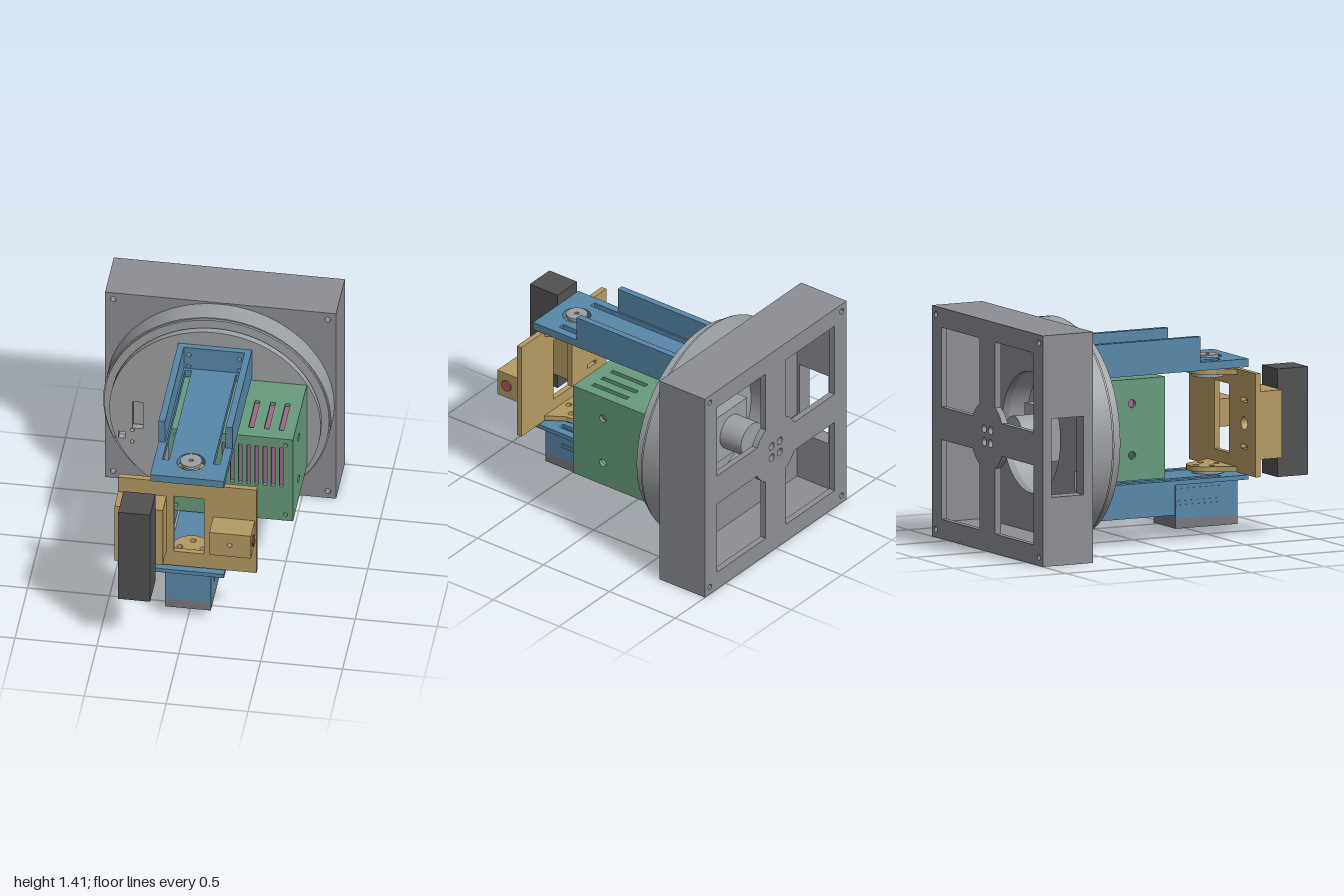
import * as THREE from 'three';
import { toCreasedNormals } from 'three/addons/utils/BufferGeometryUtils.js';

const mat = (color) => new THREE.MeshStandardMaterial({ color });
const M = {
  base: mat(0x8c8e93), grey: mat(0x9da0a3), blue: mat(0x5688a8), gold: mat(0xb39a62),
  green: mat(0x669b7d), dark: mat(0x515151), purple: mat(0xa8628a), red: mat(0xb05a5a), cap: mat(0x77787e),
};
const CY = 0.705; // height of the turntable axis

// 2D helpers
function poly(points) {
  return new THREE.Shape(points.map(([x, y]) => new THREE.Vector2(x, y)));
}
const rect = (x0, y0, x1, y1) => poly([[x0, y0], [x1, y0], [x1, y1], [x0, y1]]);
const disc = (x, y, r) => new THREE.Shape().absarc(x, y, r, 0, Math.PI * 2, false);

// Panel cut from a shape. Axis z: shape is (x, y); axis y: (x, -z); axis x: (-z, y).
function panel(parent, name, material, shape, holes, axis, from, to) {
  shape.holes.push(...holes);
  let geo = new THREE.ExtrudeGeometry(shape, { depth: to - from, bevelEnabled: false, curveSegments: 40 });
  geo.translate(0, 0, from);
  if (axis === 'y') geo.rotateX(-Math.PI / 2);
  if (axis === 'x') geo.rotateY(Math.PI / 2);
  geo = toCreasedNormals(geo, 0.5);
  const mesh = new THREE.Mesh(geo, material);
  mesh.name = name;
  parent.add(mesh);
  return mesh;
}

function box(parent, name, material, x0, x1, y0, y1, z0, z1) {
  const mesh = new THREE.Mesh(new THREE.BoxGeometry(x1 - x0, y1 - y0, z1 - z0), material);
  mesh.position.set((x0 + x1) / 2, (y0 + y1) / 2, (z0 + z1) / 2);
  mesh.name = name;
  parent.add(mesh);
}

function section(root, name) {
  const g = new THREE.Group();
  g.name = name;
  root.add(g);
  return g;
}

// Square hollow housing with a cross-shaped back
function buildHousing(root) {
  const g = section(root, 'housing');
  const corners = () => [-1, 1].flatMap((i) => [-1, 1].map((j) => disc(i * 0.655, CY + j * 0.655, 0.018)));
  const port = () => rect(-0.62, 0.43, -0.55, 0.54);
  const windows = [-1, 1].flatMap((i) => [-1, 1].map((j) => {
    const pts = [[0.585, 0.1], [0.585, 0.585], [0.1, 0.585]];
    for (let k = 0; k <= 6; k++) {
      const a = 1.075 - k * (0.58 / 6);
      pts.push([0.21 * Math.cos(a), 0.21 * Math.sin(a)]);
    }
    return poly(pts.map(([x, y]) => [i * x, CY + j * y]));
  }));
  const hubHoles = [-1, 1].flatMap((i) => [-1, 1].map((j) => disc(i * 0.04, CY + j * 0.04, 0.025)));
  const square = () => rect(-0.705, 0, 0.705, 1.41);
  panel(g, 'backCross', M.base, square(), [...windows, ...hubHoles, ...corners()], 'z', -1, -0.96);
  panel(g, 'frontPlate', M.base, square(), [disc(0, CY, 0.37), port(), ...corners()], 'z', -0.7, -0.655);
  // Walls, with a cable window on the right-hand one
  panel(g, 'floorAndRoof', M.base, rect(-0.705, 0, 0.705, 0.1), corners().filter((_, k) => k % 2 === 0), 'z', -0.96, -0.7);
  panel(g, 'floorAndRoof', M.base, rect(-0.705, 1.31, 0.705, 1.41), corners().filter((_, k) => k % 2 === 1), 'z', -0.96, -0.7);
  box(g, 'leftWall', M.base, 0.605, 0.705, 0.1, 1.31, -0.96, -0.7);
  panel(g, 'rightWall', M.base, rect(0.7, 0.1, 0.96, 1.31), [rect(0.72, 0.42, 0.94, 0.9)], 'x', -0.705, -0.605);

  // Round bearing collar with a closed front
  panel(g, 'collar', M.grey, disc(0, CY, 0.695), [disc(0, CY, 0.37), port()], 'z', -0.655, -0.515);
  panel(g, 'collarFront', M.grey, disc(0, CY, 0.687), [port()], 'z', -0.53, -0.5);
  box(g, 'motorBody', M.grey, -0.16, 0.16, CY - 0.16, CY + 0.16, -0.66, -0.53);
  panel(g, 'motorShaft', M.grey, disc(0, CY, 0.11), [], 'z', -0.82, -0.66);
}

function buildTurntable(root) {
  const g = section(root, 'turntable');
  const holes = [rect(-0.505, 0.565, -0.44, 0.765), rect(-0.59, 0.48, -0.55, 0.53),
    disc(-0.505, 0.46, 0.012), disc(-0.505, 0.55, 0.012)];
  panel(g, 'turntableDisc', M.grey, disc(0, CY, 0.645), holes, 'z', -0.478, -0.436);
  panel(g, 'turntableHub', M.grey, disc(0, CY, 0.14), [], 'z', -0.5, -0.478);
  // Three supporting rollers
  for (const deg of [30, 150, 270]) {
    const a = deg * Math.PI / 180;
    panel(g, 'roller', M.gold, disc(0.5 * Math.cos(a), CY + 0.5 * Math.sin(a), 0.035), [], 'z', -0.5, -0.478);
  }
}

// Channel arm: slotted plate, two side walls, screwed flange
function buildArm(root, name, plate, wall, wallEnd, screwRows, pivotRadius) {
  const g = section(root, name);
  const slots = [-1, 1].map((s) => rect(s * 0.155 - 0.02, -0.51, s * 0.155 + 0.02, 0.38));
  panel(g, 'armPlate', M.blue, rect(-0.225, -0.67, 0.225, 0.436), [...slots, disc(0, -0.51, pivotRadius)], 'y', ...plate);
  for (const s of [-1, 1]) {
    const x = s * 0.205;
    box(g, 'armWall', M.blue, x - 0.02, x + 0.02, ...wall, -0.436, wallEnd);
  }
  const screws = screwRows.flatMap((y) => [-0.155, 0.155].map((x) => disc(x, y, 0.014)));
  panel(g, 'armFlange', M.blue, rect(-0.185, wall[0], 0.185, wall[1]), screws, 'z', -0.436, -0.4);
}

function buildServo(root) {
  const g = section(root, 'servo');
  box(g, 'servoBody', M.blue, -0.14, 0.14, 0.13, 0.355, 0.215, 0.64);
  const pocket = rect(-0.05, -0.46, 0.05, -0.36);
  const screws = [-0.115, 0.115].flatMap((x) => [-0.61, -0.245].map((y) => disc(x, y, 0.012)));
  panel(g, 'servoCap', M.cap, rect(-0.14, -0.64, 0.14, -0.215), [pocket, ...screws], 'y', 0.07, 0.13);
  // Raised ribs on both flanks
  for (const s of [-1, 1]) for (const y of [0.21, 0.235, 0.31, 0.335]) {
    box(g, 'servoRib', M.blue, s * 0.14 - 0.004, s * 0.14 + 0.004, y - 0.005, y + 0.005, 0.215, 0.52);
  }
  panel(g, 'servoHorn', M.grey, disc(0, -0.51, 0.09), [], 'y', 0.34, 0.396);
}

// Tilting bracket with sensors
function buildBracket(root) {
  const g = section(root, 'tiltBracket');
  const holes = [rect(-0.085, 0.5, 0.1, 0.92), disc(-0.28, CY, 0.04),
    rect(-0.32, 0.55, -0.24, 0.575), rect(-0.32, 0.835, -0.24, 0.86)];
  panel(g, 'bracketPlate', M.gold, rect(-0.425, 0.393, 0.42, 1.025), holes, 'z', 0.61, 0.645);
  for (const y of [0.395, 0.99]) {
    const ear = new THREE.Shape();
    ear.moveTo(0.19, -0.61);
    ear.lineTo(0.12, -0.5);
    ear.absarc(0, -0.5, 0.12, 0, Math.PI, false);
    ear.lineTo(-0.19, -0.61);
    const pins = [0, 1, 2, 3].map((k) => disc(0.07 * Math.cos(k * Math.PI / 2), -0.5 + 0.07 * Math.sin(k * Math.PI / 2), 0.018));
    panel(g, 'bracketEar', M.gold, ear, pins, 'y', y, y + 0.032);
  }
  // Upper pivot
  panel(g, 'pivotWasher', M.grey, disc(0, -0.51, 0.1), [], 'y', 0.967, 0.99);
  panel(g, 'pivotNeck', M.grey, disc(0, -0.51, 0.05), [], 'y', 1.02, 1.09);
  panel(g, 'pivotCap', M.grey, disc(0, -0.51, 0.065), [disc(0, -0.51, 0.014)], 'y', 1.08, 1.1);

  // Long sensor bar on its mount
  panel(g, 'barMount', M.gold, rect(-0.425, 0.5, -0.13, 0.915), [disc(-0.28, CY, 0.04)], 'z', 0.645, 0.79);
  box(g, 'sensorBar', M.dark, -0.37, -0.175, 0.375, 1.035, 0.79, 1);

  // Pointer holder with a small bore
  panel(g, 'pointerHolder', M.gold, rect(0.155, 0.62, 0.41, 0.79), [disc(0.28, CY, 0.015)], 'z', 0.645, 0.8);
  panel(g, 'pointerCore', M.red, disc(0.28, CY, 0.02), [], 'z', 0.65, 0.76);
  panel(g, 'pointerButton', M.red, disc(-0.73, CY, 0.036), [], 'x', 0.4, 0.417);
}

// Vented electronics case
function buildCase(root) {
  const g = section(root, 'electronicsCase');
  const [x0, x1, y0, y1, z0, z1, t] = [-0.2, 0.56, 0.395, 1.015, -0.436, 0.11, 0.025];
  const front = [[0.515, 0.97], [0.515, 0.44], [-0.155, 0.97], [-0.155, 0.44]].map(([x, y]) => disc(x, y, 0.013));
  for (let k = 0; k < 8; k++) front.push(rect(0.127 + k * 0.05, 0.65, 0.15 + k * 0.05, 0.945));
  panel(g, 'caseFront', M.green, rect(x0, y0, x1, y1), front, 'z', z1 - t, z1);
  const vents = () => [0.29, 0.385, 0.475].map((x) => rect(x - 0.015, -0.025, x + 0.015, 0.24));
  panel(g, 'caseTop', M.green, rect(x0, -z1 + t, x1, -z0), vents(), 'y', y1 - t, y1);
  panel(g, 'caseBottom', M.green, rect(x0, -z1 + t, x1, -z0), [], 'y', y0, y0 + t);
  const sideHoles = () => [disc(0.115, 0.865, 0.025), disc(0.115, 0.55, 0.025)];
  const side = () => rect(-z1 + t, y0 + t, -z0, y1 - t);
  panel(g, 'caseSide', M.green, side(), sideHoles(), 'x', x1 - t, x1);
  panel(g, 'caseSide', M.green, side(), sideHoles(), 'x', x0, x0 + t);
  box(g, 'caseBack', M.green, x0 + t, x1 - t, y0 + t, y1 - t, z0, z0 + 0.02);
  box(g, 'circuitBoard', M.purple, -0.15, 0.52, 0.62, 0.95, -0.4, 0.05);
  box(g, 'boardConnector', M.blue, 0.24, 0.52, 0.95, 0.96, -0.05, 0.03);
}

export function createModel() {
  const root = new THREE.Group();
  root.name = 'panTiltScanner';
  buildHousing(root);
  buildTurntable(root);
  buildArm(root, 'upperArm', [1.037, 1.087], [1.087, 1.245], 0.34, [1.19, 1.105], 0.085);
  buildArm(root, 'lowerArm', [0.35, 0.378], [0.168, 0.35], 0.165, [0.325, 0.225], 0.1);
  buildServo(root);
  buildBracket(root);
  buildCase(root);
  return root;
}
